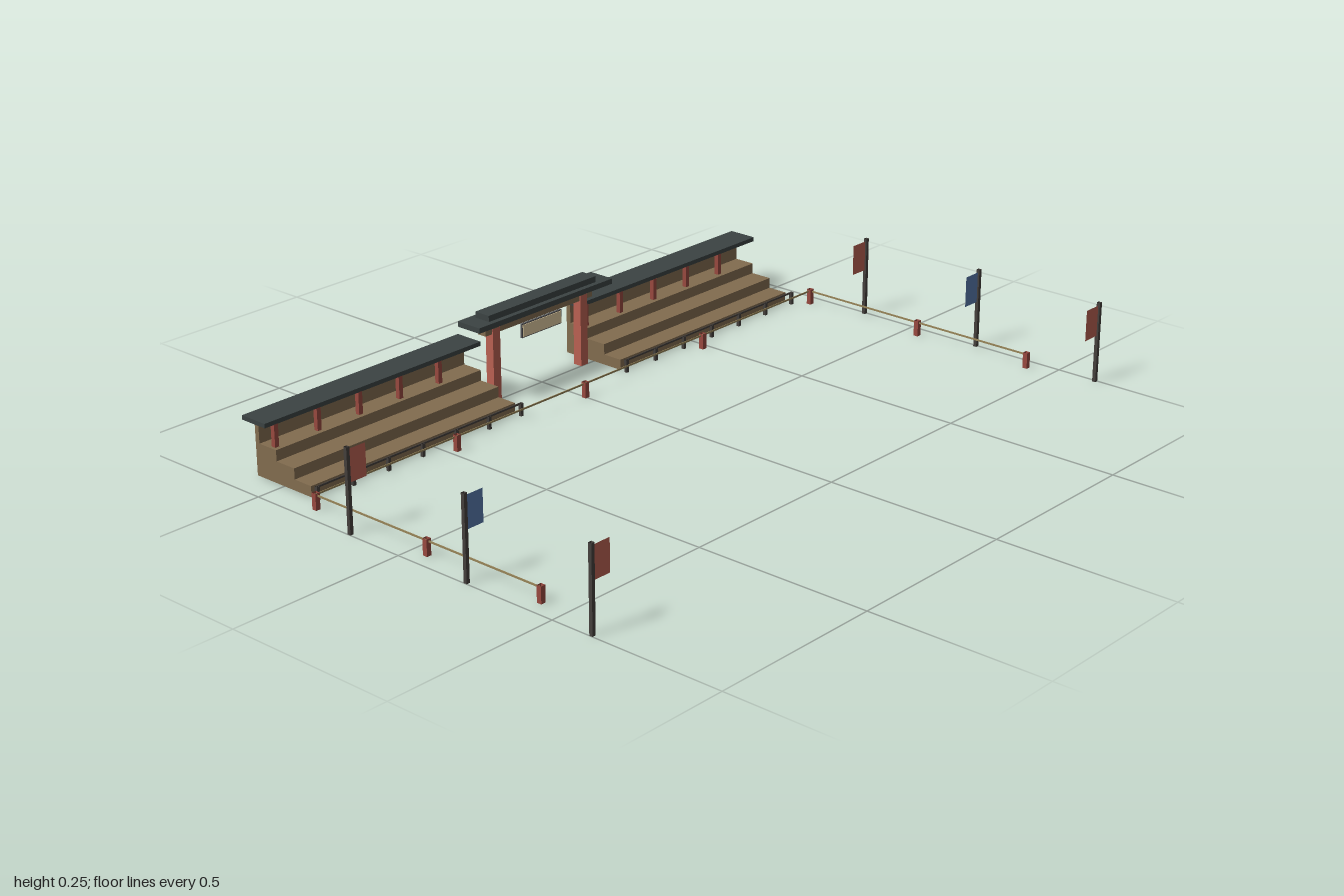
import * as THREE from 'three';

const mat = (name, color, side = THREE.FrontSide) => {
  const m = new THREE.MeshStandardMaterial({ color, side });
  m.name = name;
  return m;
};

export function createModel() {
  const wood = mat('wood', 0x826c4f, THREE.DoubleSide);
  const red = mat('red', 0xba6052, THREE.DoubleSide);
  const darkRed = mat('darkRed', 0x98493f, THREE.DoubleSide);
  const tile = mat('roofTile', 0x3b4343);
  const iron = mat('darkIron', 0x443f3c, THREE.DoubleSide);
  const slate = mat('plaqueSlate', 0x515154);
  const tan = mat('plaqueTan', 0xddc99f);
  const blue = mat('flagBlue', 0x587aac, THREE.DoubleSide);
  const rope = mat('rope', 0x988559);

  const root = new THREE.Group();
  root.name = 'arenaGrounds';
  const group = (name) => {
    const g = new THREE.Group();
    g.name = name;
    root.add(g);
    return g;
  };
  const add = (parent, name, geo, m, x, y, z) => {
    const mesh = new THREE.Mesh(geo, m);
    mesh.name = name;
    mesh.position.set(x, y, z);
    parent.add(mesh);
    return mesh;
  };
  // Box given by its bottom height y0 and top height y1
  const box = (p, name, m, w, y0, y1, d, x, z) =>
    add(p, name, new THREE.BoxGeometry(w, y1 - y0, d), m, x, (y0 + y1) / 2, z);
  // Leave out some of a box's faces
  const cut = (mesh, start, count) => {
    const index = Array.from(mesh.geometry.index.array);
    index.splice(start, count);
    mesh.geometry.setIndex(index);
    mesh.geometry.clearGroups();
  };
  // Box without a bottom face, standing on the ground
  const shell = (p, name, m, w, h, d, x, z) => cut(box(p, name, m, w, 0, h, d, x, z), 18, 6);
  // Square upright post, open at both ends
  const post = (p, name, m, w, y0, y1, x, z) => cut(box(p, name, m, w, y0, y1, w, x, z), 12, 12);

  // Seating tiers: front z, back z, height
  const tiers = [[-0.4, -0.46, 0.03], [-0.46, -0.525, 0.06], [-0.525, -0.587, 0.09]];

  for (const s of [-1, 1]) {
    const cx = s * 0.56;
    const stand = group(s < 0 ? 'rightStand' : 'leftStand');
    for (const [front, back, h] of tiers)
      shell(stand, 'seatingTier', wood, 0.71, h, front - back, cx, (front + back) / 2);
    shell(stand, 'backWall', wood, 0.71, 0.152, 0.014, cx, -0.594);
    box(stand, 'standRoof', tile, 0.745, 0.151, 0.163, 0.085, s * 0.5625, -0.581);
    for (let i = 0; i < 5; i++)
      post(stand, 'roofPost', darkRed, 0.013, 0.09, 0.152, cx - 0.34 + i * 0.14, -0.544);
    // Handrail in front of the seating
    for (let i = 0; i < 7; i++)
      post(stand, 'handrailPost', iron, 0.009, 0, 0.036, cx - 0.355 + i * 0.1183, -0.377);
    box(stand, 'handrail', iron, 0.71, 0.031, 0.036, 0.003, cx, -0.38);
  }

  // Gate with a two-tier roof and a framed hanging plaque
  const gate = group('gate');
  for (const s of [-1, 1]) post(gate, 'gatePillar', red, 0.027, 0, 0.205, s * 0.168, -0.513);
  box(gate, 'gateBeam', wood, 0.41, 0.19, 0.222, 0.028, 0, -0.517);
  box(gate, 'lowerRoof', tile, 0.51, 0.22, 0.235, 0.08, 0, -0.514);
  box(gate, 'upperRoof', tile, 0.41, 0.235, 0.252, 0.05, 0, -0.514);
  box(gate, 'plaqueBoard', slate, 0.152, 0.15, 0.19, 0.006, 0, -0.499);
  box(gate, 'plaqueFace', tan, 0.146, 0.153, 0.187, 0.002, 0, -0.495);

  // Low fence around three sides of the field
  const fence = group('fence');
  for (let i = -2; i <= 2; i++) post(fence, 'fencePost', darkRed, 0.014, 0, 0.045, i * 0.477, -0.338);
  box(fence, 'backRail', rope, 1.91, 0.036, 0.041, 0.002, 0, -0.34);
  for (const s of [-1, 1]) {
    for (const z of [0.05, 0.422]) post(fence, 'fencePost', darkRed, 0.014, 0, 0.045, s * 0.954, z);
    box(fence, 'sideRail', rope, 0.002, 0.036, 0.041, 0.76, s * 0.954, 0.04);
  }

  // Flags on poles, pointing inward
  const flags = group('flags');
  const cloth = new THREE.PlaneGeometry(0.055, 0.087);
  for (const s of [-1, 1])
    [-0.17, 0.224, 0.619].forEach((z, i) => {
      post(flags, 'flagPole', iron, 0.01, 0, 0.228, s * 0.995, z);
      add(flags, 'flag', cloth, i === 1 ? blue : red, s * 0.9635, 0.1765, z);
    });

  return root;
}
